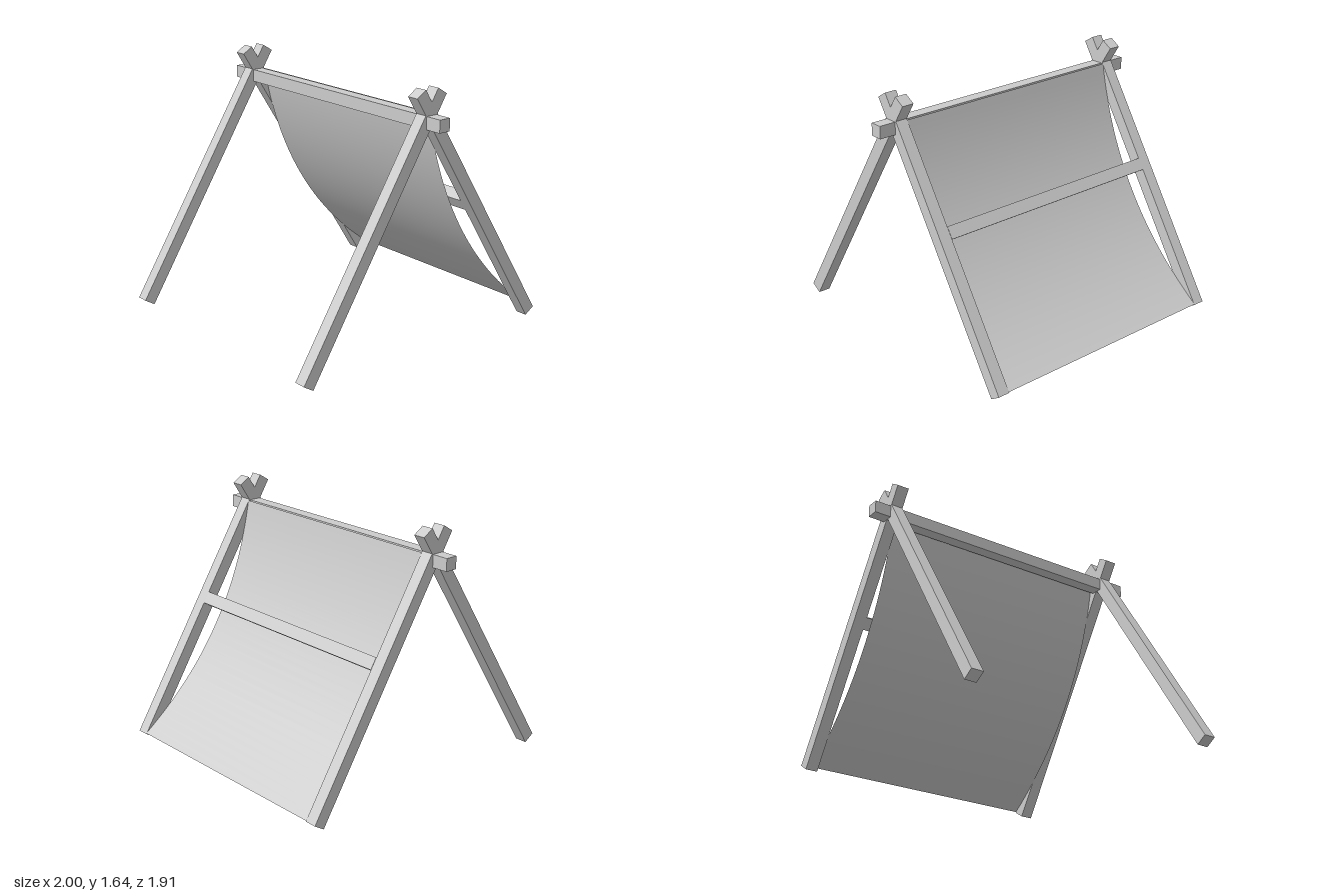
import * as THREE from 'three';

const BEAM = 0.08;          // square section of every beam
const TILT = 0.562;         // lean of the legs from vertical
const LEG_LENGTH = 1.887;
const LEG_X = 0.85;
const CLOTH_WIDTH = 1.62;

const material = new THREE.MeshStandardMaterial({ color: 0xcccccc });
const clothMaterial = new THREE.MeshStandardMaterial({ color: 0xcccccc, side: THREE.DoubleSide });

function beam(name, size, position, tilt = 0) {
  const mesh = new THREE.Mesh(new THREE.BoxGeometry(...size), material);
  mesh.name = name;
  mesh.position.set(...position);
  mesh.rotation.x = tilt;
  return mesh;
}

// Sheet hung between the ridge and the feet of the back legs, sagging forward
function saggingCloth() {
  const top = new THREE.Vector2(-0.055, 1.478);      // (z, y)
  const bottom = new THREE.Vector2(-0.957, 0.047);
  const sag = 0.17;
  const chord = top.clone().sub(bottom);
  const normal = new THREE.Vector2(chord.y, -chord.x).normalize();
  const geometry = new THREE.PlaneGeometry(CLOTH_WIDTH, 1, 1, 32);
  const pos = geometry.attributes.position;
  for (let i = 0; i < pos.count; i++) {
    const t = pos.getY(i) + 0.5;
    const depth = sag * 4 * t * (1 - t);
    pos.setY(i, bottom.y + chord.y * t + normal.y * depth);
    pos.setZ(i, bottom.x + chord.x * t + normal.x * depth);
  }
  geometry.computeVertexNormals();
  const mesh = new THREE.Mesh(geometry, clothMaterial);
  mesh.name = 'cloth';
  return mesh;
}

export function createModel() {
  const group = new THREE.Group();
  group.name = 'clothFrame';

  // Crossed legs at both ends
  for (const [side, sx] of [['left', 1], ['right', -1]]) {
    for (const [end, sz] of [['Front', 1], ['Back', -1]]) {
      group.add(beam(`${side}${end}Leg`, [BEAM, LEG_LENGTH, BEAM],
        [sx * LEG_X, 0.818, sz * 0.42], -sz * TILT));
    }
  }

  // Ridge pole and the rail joining the back legs
  group.add(beam('ridgePole', [2, BEAM, BEAM], [0, 1.44, 0]));
  group.add(beam('backRail', [CLOTH_WIDTH, BEAM, BEAM], [0, 0.859, -0.397], TILT));

  group.add(saggingCloth());
  return group;
}
